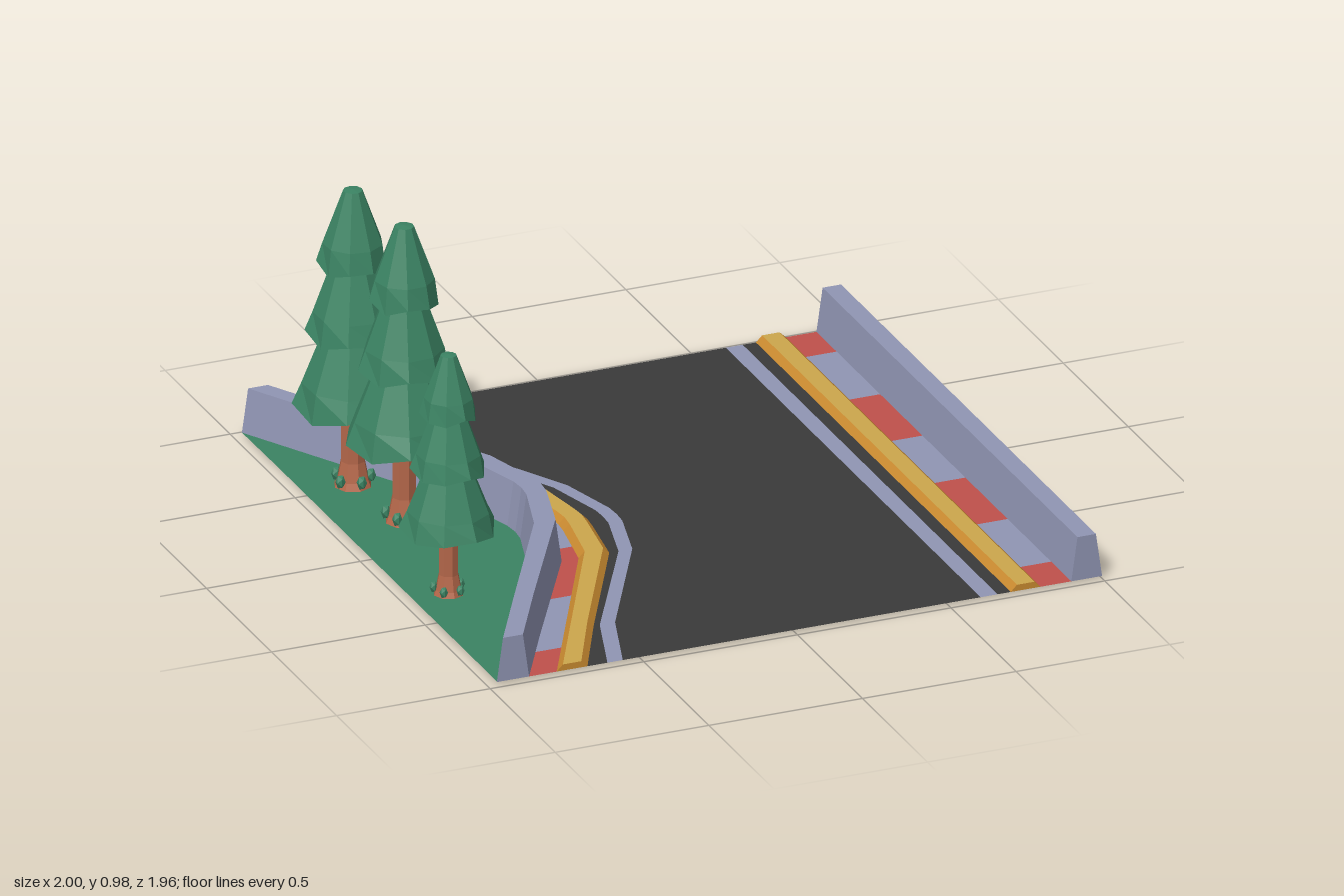
import * as THREE from 'three';

const mat = (name, color, flatShading = true) =>
  new THREE.MeshStandardMaterial({ name, color, flatShading, side: THREE.DoubleSide });
const M = {
  asphalt: mat('asphalt', 0x3a3a3a),
  concrete: mat('concrete', 0x9095b3),
  red: mat('red paint', 0xbf504b),
  yellow: mat('yellow curb top', 0xcca64c),
  orange: mat('orange curb side', 0xc98a30),
  green: mat('green', 0x3b8363),
  bark: mat('bark', 0xb4674a),
};

const END = 0.98, GROUND = 0.008;
const KNOTS = [0, 0.05, 0.25, 0.72, END];

// Edge line x(z), mirrored front to back; values at the knots
const bend = (...xs) => (z) => {
  const a = Math.min(Math.abs(z), END);
  let i = 0;
  while (i < 3 && a > KNOTS[i + 1]) i++;
  return THREE.MathUtils.mapLinear(a, KNOTS[i], KNOTS[i + 1], xs[i], xs[i + 1]);
};
const straight = (x) => () => x;
const shift = (f, d) => (z) => f(z) + d;

function meshFrom(name, material, pos) {
  const g = new THREE.BufferGeometry();
  g.setAttribute('position', new THREE.Float32BufferAttribute(pos, 3));
  g.computeVertexNormals();
  const m = new THREE.Mesh(g, material);
  m.name = name;
  return m;
}

// Corner positions of a strip between edge a and edge b
function strip(a, b, ya = GROUND, yb = GROUND, z0 = -END, z1 = END) {
  const inner = [...KNOTS, ...KNOTS.map((k) => -k)].filter((z) => z > z0 && z < z1);
  const zs = [...new Set([z0, ...inner, z1])].sort((p, q) => p - q);
  const pos = [];
  for (let i = 0; i < zs.length - 1; i++) {
    const p = zs[i], q = zs[i + 1];
    const a0 = [a(p), ya, p], b0 = [b(p), yb, p], a1 = [a(q), ya, q], b1 = [b(q), yb, q];
    pos.push(...a0, ...a1, ...b0, ...b0, ...a1, ...b1);
  }
  return pos;
}

// Sloped sides and end caps of a raised profile
function sidesAndCaps(a, b, inset, top) {
  const pos = [
    ...strip(a, shift(a, inset), GROUND, top),
    ...strip(shift(b, -inset), b, top, GROUND),
  ];
  for (const z of [-END, END]) {
    const c = [[a(z), GROUND, z], [b(z), GROUND, z], [b(z) - inset, top, z], [a(z) + inset, top, z]];
    const order = z > 0 ? [0, 1, 2, 0, 2, 3] : [0, 2, 1, 0, 3, 2];
    order.forEach((i) => pos.push(...c[i]));
  }
  return pos;
}
const topFace = (a, b, inset, top) => strip(shift(a, inset), shift(b, -inset), top, top);

// Uneven foliage skirt: ragged hem and closed underside
function skirt(rTop, yTop, rHem, yHem, seed) {
  const n = 9, h = yTop - yHem;
  const profile = [
    [0, yHem + 0.03], [rHem * 0.6, yHem + 0.02], [rHem, yHem],
    [rHem * 0.84, yHem + h * 0.3], [rTop, yTop], [0, yTop + 0.003],
  ].map(([x, y]) => new THREE.Vector2(x, y));
  const g = new THREE.LatheGeometry(profile, n, seed);
  const p = g.attributes.position;
  for (let i = 0; i < p.count; i++) {
    const row = i % profile.length, col = Math.floor(i / profile.length) % n;
    if (row !== 2) continue;
    const wave = Math.sin(col * 2.4 + seed * 3);
    const k = 0.97 + 0.04 * wave;
    p.setXYZ(i, p.getX(i) * k, p.getY(i) + 0.016 * wave, p.getZ(i) * k);
  }
  return g;
}

function tree(name, x, z, scale, turn) {
  const t = new THREE.Group();
  t.name = name;
  const add = (part, g, m) => {
    const mesh = new THREE.Mesh(g, m);
    mesh.name = part;
    t.add(mesh);
    return mesh;
  };
  // Trunk with flared root
  const trunk = [[0, 0], [0.062, 0], [0.05, 0.03], [0.038, 0.09], [0.038, 0.31]];
  add('trunk', new THREE.LatheGeometry(trunk.map(([r, y]) => new THREE.Vector2(r, y)), 8), M.bark);
  // Three stacked skirts
  const tiers = [[0.085, 0.53, 0.185, 0.272], [0.062, 0.75, 0.145, 0.51], [0.03, 0.978, 0.11, 0.735]];
  tiers.forEach((s, i) => add('foliage', skirt(...s, turn + i * 0.7), M.green));
  // Small tufts around the root
  for (let i = 0; i < 5; i++) {
    const a = turn + (i * Math.PI * 2) / 5;
    const tuft = add('rootTuft', new THREE.IcosahedronGeometry(0.02, 0), M.green);
    tuft.position.set(Math.cos(a) * 0.055, 0.035, Math.sin(a) * 0.055);
    tuft.scale.set(0.8, 1.2, 0.8);
  }
  t.position.set(x, 0, z);
  t.scale.setScalar(scale);
  return t;
}

export function createModel() {
  const model = new THREE.Group();
  model.name = 'roadSection';

  // Edge lines of each side, outermost first on the bend
  const L = {
    barrier: [bend(-0.495, -0.5, -0.56, -0.825, -0.97), bend(-0.39, -0.395, -0.45, -0.72, -0.865)],
    curb: [bend(-0.355, -0.36, -0.395, -0.64, -0.775), bend(-0.26, -0.265, -0.295, -0.545, -0.675)],
    line: [bend(-0.21, -0.213, -0.265, -0.525, -0.61), bend(-0.165, -0.168, -0.22, -0.475, -0.56)],
  };
  const R = {
    line: [straight(0.605), straight(0.66)],
    curb: [straight(0.703), straight(0.8)],
    barrier: [straight(0.9), straight(1)],
  };

  // Flat surfaces
  model.add(meshFrom('grass', M.green, strip(straight(-0.968), L.barrier[0])));
  model.add(meshFrom('road', M.asphalt, [
    ...strip(L.curb[0], L.line[0]),
    ...strip(L.line[1], R.line[0]),
    ...strip(R.line[1], R.curb[1]),
    ...strip(...R.barrier),
  ]));

  // Alternating red and pale shoulder blocks
  const cuts = [-END, -0.825, -0.49, -0.165, 0.165, 0.49, 0.825, END];
  for (const [a, b] of [[L.barrier[1], L.curb[0]], [R.curb[1], R.barrier[0]]]) {
    for (let i = 0; i < 7; i++) {
      model.add(meshFrom('shoulderBlock', i % 2 ? M.concrete : M.red,
        strip(a, b, GROUND, GROUND, cuts[i], cuts[i + 1])));
    }
  }

  // Edge lines, curbs and barriers on both sides
  for (const [side, s] of [['right', L], ['left', R]]) {
    model.add(meshFrom(side + 'EdgeLine', M.concrete, strip(...s.line)));
    model.add(meshFrom(side + 'CurbSides', M.orange, sidesAndCaps(...s.curb, 0.02, 0.028)));
    model.add(meshFrom(side + 'CurbTop', M.yellow, topFace(...s.curb, 0.02, 0.028)));
    model.add(meshFrom(side + 'Barrier', M.concrete, [
      ...sidesAndCaps(...s.barrier, 0.02, 0.15),
      ...topFace(...s.barrier, 0.02, 0.15),
    ]));
  }

  // Trees on the grass
  model.add(tree('backTree', -0.81, -0.505, 1, 0.2));
  model.add(tree('middleTree', -0.77, -0.205, 1, 1.1));
  model.add(tree('frontTree', -0.852, 0.33, 0.81, 2.3));
  return model;
}
